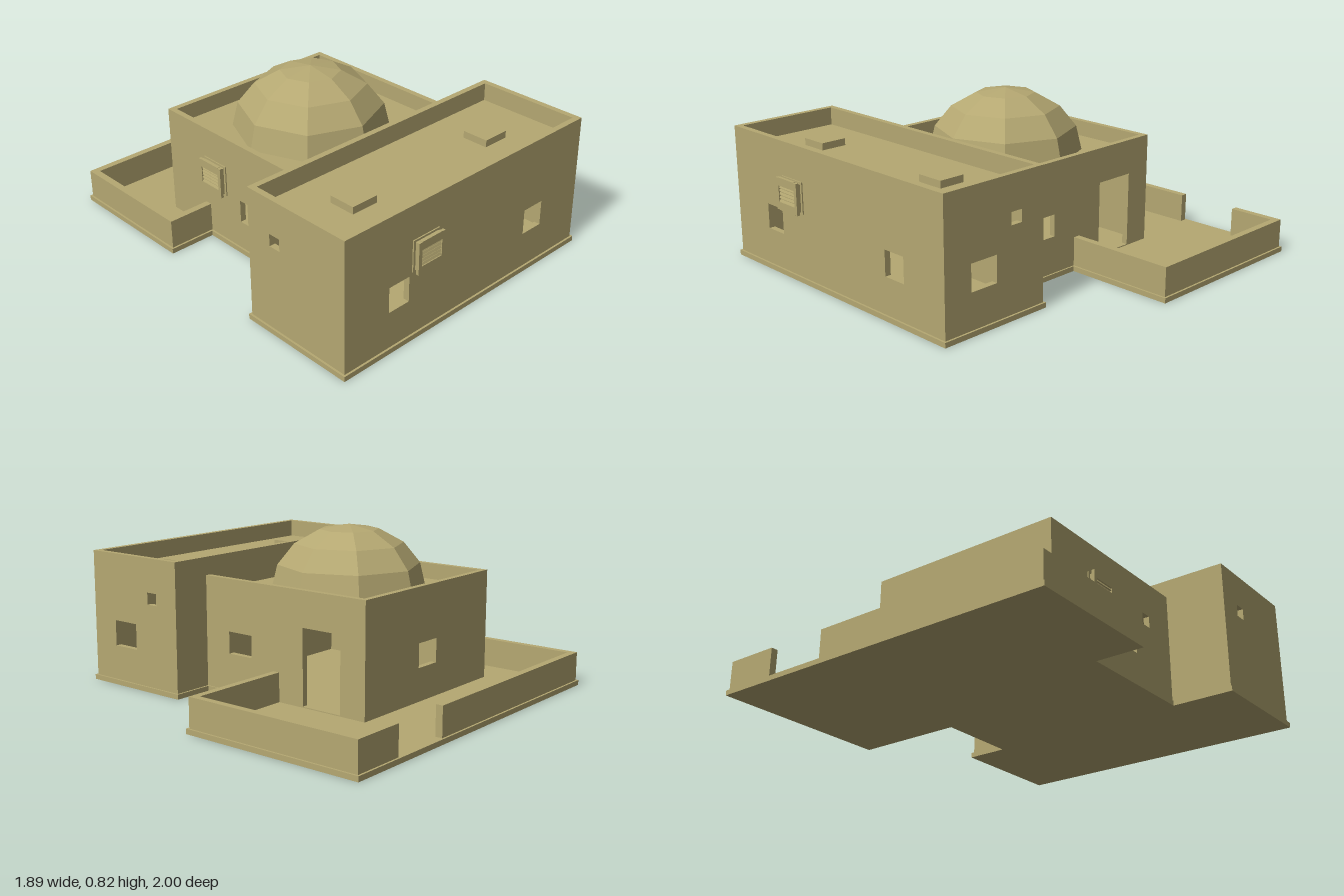
import * as THREE from 'three';

export function createModel() {
  const model = new THREE.Group();
  const clay = new THREE.MeshStandardMaterial({ color: 0xb5a872, flatShading: true });
  const T = 0.03; // wall thickness
  const BASE = 0.025; // top of the plinth

  function add(name, geometry, parent = model) {
    const mesh = new THREE.Mesh(geometry, clay);
    mesh.name = name;
    parent.add(mesh);
    return mesh;
  }

  // Box given by its limits on each axis
  function box(name, x0, x1, y0, y1, z0, z1, parent) {
    const mesh = add(name, new THREE.BoxGeometry(x1 - x0, y1 - y0, z1 - z0), parent);
    mesh.position.set((x0 + x1) / 2, (y0 + y1) / 2, (z0 + z1) / 2);
    return mesh;
  }

  // Closed rectangle, as a wall outline or an opening
  function rect(Type, a0, a1, y0, y1) {
    return new Type([[a0, y0], [a1, y0], [a1, y1], [a0, y1]].map(p => new THREE.Vector2(...p)));
  }

  // Upright wall with openings [a0, a1, y0, y1]; outer is its larger x or z limit
  function wall(name, axis, a0, a1, top, outer, openings = []) {
    const shape = rect(THREE.Shape, a0, a1, BASE, top);
    openings.forEach(o => shape.holes.push(rect(THREE.Path, ...o)));
    const mesh = add(name, new THREE.ExtrudeGeometry(shape, { depth: T, bevelEnabled: false }));
    if (axis === 'z') {
      mesh.rotation.y = -Math.PI / 2;
      mesh.position.x = outer;
    } else {
      mesh.position.z = outer - T;
    }
  }

  // Plinth under the whole plan
  const plan = [[-0.95, 0.97], [0.595, 0.97], [0.595, 0.365], [0.385, 0.365], [0.385, -0.05],
    [0.945, -0.05], [0.945, -1], [-0.88, -1], [-0.88, -0.29], [-0.64, -0.29], [-0.64, 0.365], [-0.95, 0.365]];
  const plinth = add('plinth', new THREE.ExtrudeGeometry(
    new THREE.Shape(plan.map(([x, z]) => new THREE.Vector2(x, -z))), { depth: BASE, bevelEnabled: false }));
  plinth.rotation.x = -Math.PI / 2;

  // Front block: hollow room with parapet
  const vent = [0.51, 0.572, 0.44, 0.5];
  wall('frontWall', 'x', -0.94 + T, 0.585 - T, 0.67, 0.96, [[-0.685, -0.565, 0.205, 0.33], [0.2, 0.325, 0.205, 0.33]]);
  wall('frontBlockBackWall', 'x', -0.94 + T, 0.585 - T, 0.67, 0.375 + T);
  wall('frontBlockLeftWall', 'z', 0.375, 0.96, 0.67, 0.585, [vent, [0.66, 0.81, 0.2, 0.33]]);
  wall('frontBlockRightWall', 'z', 0.375, 0.96, 0.67, -0.94 + T, [vent]);
  box('frontRoof', -0.94 + T, 0.585 - T, 0.55, 0.58, 0.375 + T, 0.96 - T);
  for (const x of [-0.605, 0.245]) box('roofHatch', x - 0.07, x + 0.07, 0.58, 0.615, 0.6, 0.735);

  // Middle block: domed room with parapet
  wall('domeRoomBackWall', 'x', -0.63 + T, 0.377 - T, 0.58, -0.6 + T, [[-0.185, -0.04, 0.19, 0.31]]);
  wall('domeRoomLeftWall', 'z', -0.6, 0.375, 0.58, 0.377,
    [[0.08, 0.225, 0.21, 0.32], [-0.46, -0.24, 0.03, 0.405]]);
  wall('domeRoomRightWall', 'z', -0.6, 0.375, 0.58, -0.63 + T,
    [[-0.07, 0.07, 0.17, 0.285], [0.135, 0.195, 0.345, 0.405]]);
  box('domeRoomRoof', -0.63 + T, 0.377 - T, 0.47, 0.5, -0.6 + T, 0.375);

  // Eight-sided dome
  const dome = add('dome', new THREE.SphereGeometry(0.385, 8, 4, 0, Math.PI * 2, 0, Math.PI / 2));
  dome.scale.y = 0.32 / 0.385;
  dome.position.set(-0.14, 0.5, -0.105);

  // Low courtyard walls with a gate gap at the back
  const W = 0.035, H = 0.17;
  const yardWalls = [
    [-0.87, 0.345, -0.99, -0.99 + W],
    [0.665, 0.935, -0.99, -0.99 + W],
    [0.935 - W, 0.935, -0.99 + W, -0.06],
    [0.377, 0.935 - W, -0.06 - W, -0.06],
    [-0.87, -0.87 + W, -0.99 + W, -0.3],
    [-0.87 + W, -0.63, -0.3 - W, -0.3],
  ];
  yardWalls.forEach(([x0, x1, z0, z1]) => box('courtyardWall', x0, x1, BASE, H, z0, z1));

  // Louvred wall unit, built facing +z around its own centre
  function louvreUnit() {
    const unit = new THREE.Group();
    unit.name = 'louvreUnit';
    box('unitFlange', -0.08, 0.08, -0.078, 0.078, 0, 0.006, unit);
    box('unitBody', -0.068, 0.068, -0.068, 0.068, 0.006, 0.026, unit);
    for (const s of [-1, 1]) {
      box('unitFrameSide', s * 0.0705 - 0.0095, s * 0.0705 + 0.0095, -0.078, 0.078, 0.022, 0.037, unit);
      const rail = box('unitFrameRail', -0.061, 0.061, -0.02, 0.02, 0.022, 0.037, unit);
      rail.position.y = s * 0.06;
    }
    for (let i = 0; i < 5; i++) {
      const slat = box('unitSlat', -0.061, 0.061, -0.006, 0.006, 0.027, 0.032, unit);
      slat.position.y = -0.034 + i * 0.017;
      slat.rotation.x = -0.4;
    }
    model.add(unit);
    return unit;
  }
  louvreUnit().position.set(-0.47, 0.423, 0.96);
  const sideUnit = louvreUnit();
  sideUnit.position.set(-0.63, 0.35, -0.245);
  sideUnit.rotation.y = -Math.PI / 2;

  return model;
}
